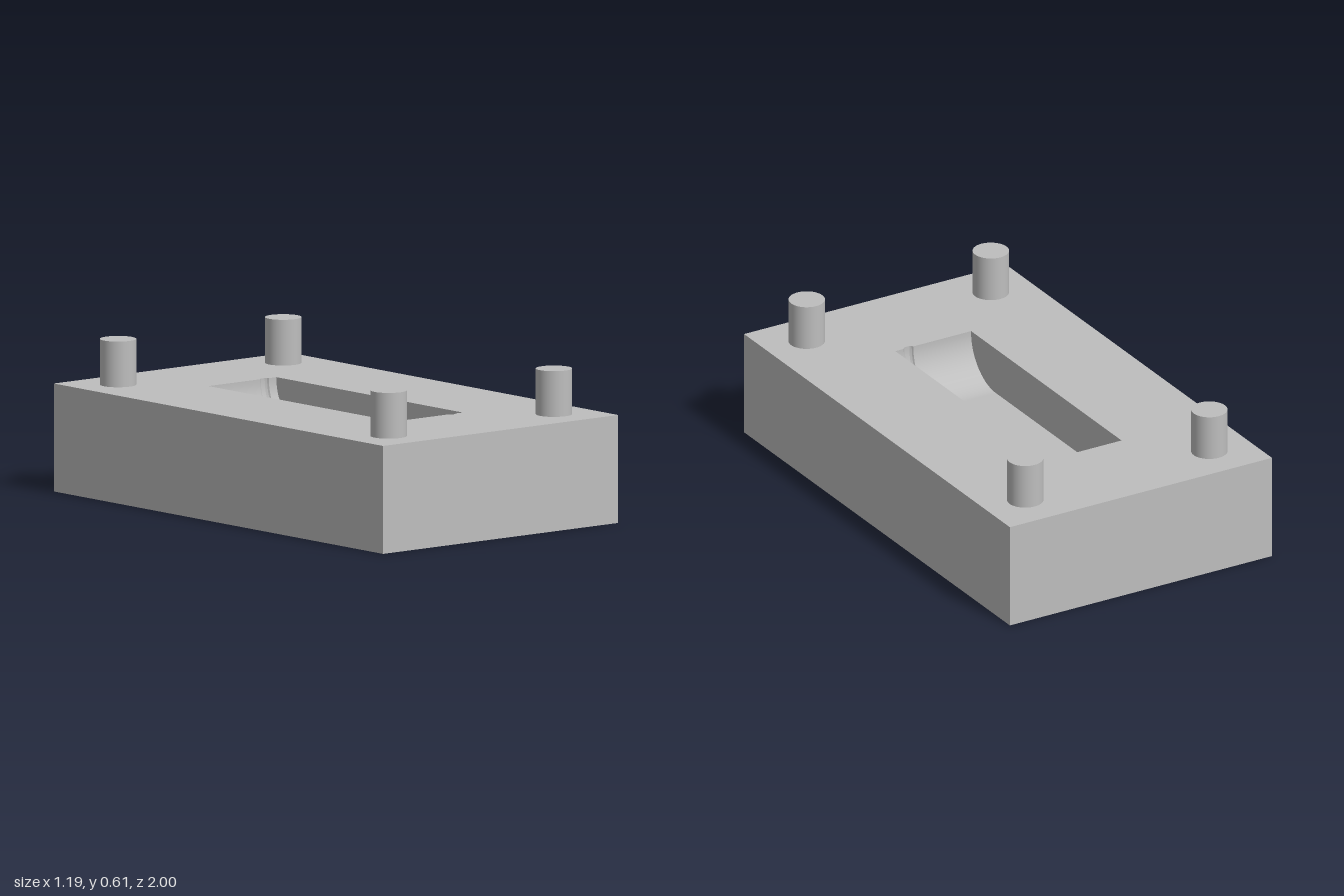
import * as THREE from 'three';

const W = 1.19, L = 2, TOP = 0.425;          // block width, length, height
const HALF = 0.566, DEPTH = 0.19, R = 0.185; // cavity half length, depth, end radius
// cavity stations along x: [x, extra depth]; the middle ones form the ring groove
const STATIONS = [[-0.174, 0], [0.088, 0], [0.092, 0.006], [0.1, 0.011], [0.12, 0.011], [0.128, 0.006], [0.132, 0], [0.17, 0]];

// trough outline in (z, y), from the +z rim over the floor to the -z rim
function profile(extra) {
  const half = [[HALF + extra, TOP]], n = 20, r = R + extra;
  for (let i = 0; i <= n; i++) {
    const a = (i / n) * Math.PI / 2;
    half.push([HALF - R + r * Math.cos(a), TOP - DEPTH + R - r * Math.sin(a)]);
  }
  return [...half, ...half.slice().reverse().map(([z, y]) => [-z, y])];
}

// one smooth strip of trough surface between two stations
function strip([x0, e0], [x1, e1]) {
  const a = profile(e0), b = profile(e1), pos = [], idx = [];
  a.forEach(([z, y], i) => {
    pos.push(x0, y, z, x1, b[i][1], b[i][0]);
    if (i) {
      const k = 2 * i - 2;
      idx.push(k, k + 1, k + 2, k + 1, k + 3, k + 2);
    }
  });
  const g = new THREE.BufferGeometry();
  g.setAttribute('position', new THREE.Float32BufferAttribute(pos, 3));
  g.setIndex(idx);
  g.computeVertexNormals();
  return g;
}

export function createModel() {
  const model = new THREE.Group();
  model.name = 'mouldHalf';
  const grey = new THREE.MeshStandardMaterial({ color: 0xbebebe });
  grey.name = 'grey';
  const add = (name, geometry, parent = model) => {
    const m = new THREE.Mesh(geometry, grey);
    m.name = name;
    parent.add(m);
    return m;
  };

  // block sides and bottom: a box without its top face
  const box = new THREE.BoxGeometry(W, TOP, L).translate(0, TOP / 2, 0);
  box.setIndex(Array.from(box.index.array).filter((_, i) => i < 12 || i >= 18));
  box.clearGroups();
  add('blockSides', box);

  // top face with the cavity opening
  const face = new THREE.Shape([[-1, -1], [1, -1], [1, 1], [-1, 1]].map(([x, y]) => new THREE.Vector2(x * W / 2, y * L / 2)));
  const rim = STATIONS.map(([x, e]) => new THREE.Vector2(x, HALF + e));
  face.holes.push(new THREE.Path([...rim, ...rim.slice().reverse().map(p => new THREE.Vector2(p.x, -p.y))]));
  add('blockTop', new THREE.ShapeGeometry(face).rotateX(-Math.PI / 2).translate(0, TOP, 0));

  // cavity with its ring groove
  const cavity = new THREE.Group();
  cavity.name = 'cavity';
  model.add(cavity);
  for (let i = 1; i < STATIONS.length; i++) {
    const groove = i > 1 && i < STATIONS.length - 1;
    add(groove ? 'ringGroove' : 'cavityFloor', strip(STATIONS[i - 1], STATIONS[i]), cavity);
  }
  const wall = new THREE.Shape(profile(0).map(([z, y]) => new THREE.Vector2(z, y)));
  add('cavityRightWall', new THREE.ShapeGeometry(wall).rotateY(Math.PI / 2).translate(STATIONS[0][0], 0, 0), cavity);
  add('cavityLeftWall', new THREE.ShapeGeometry(wall).rotateY(-Math.PI / 2).translate(STATIONS.at(-1)[0], 0, 0), cavity);

  // four guide pins
  for (const x of [-0.418, 0.418]) {
    for (const z of [-0.822, 0.822]) {
      add('guidePin', new THREE.CylinderGeometry(0.071, 0.071, 0.18, 48)).position.set(x, TOP + 0.09, z);
    }
  }
  return model;
}
